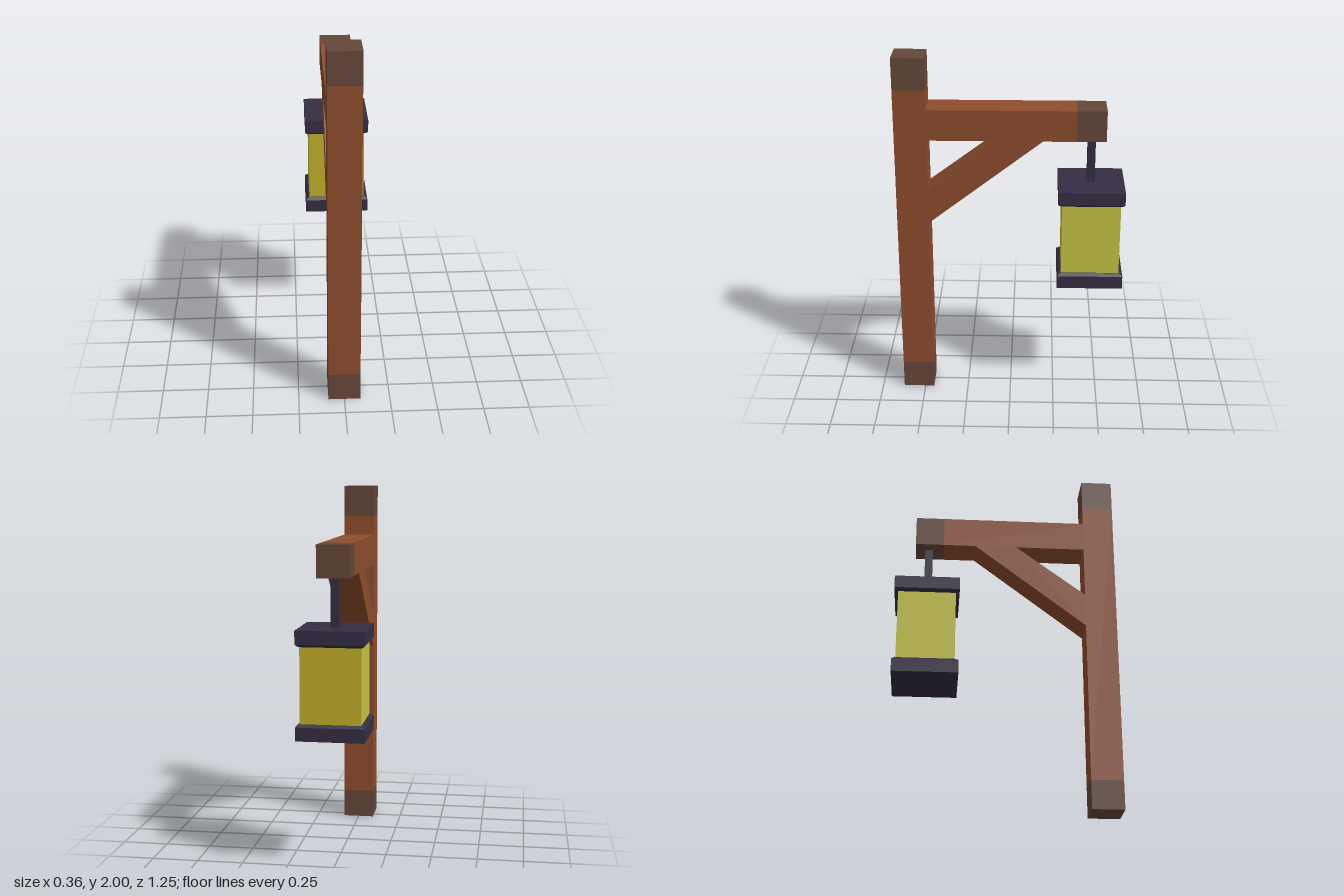
import * as THREE from 'three';

const flat = (name, color) => {
  const m = new THREE.MeshStandardMaterial({ color });
  m.name = name;
  return m;
};

export function createModel() {
  const wood = flat('wood', 0x8f4d2d);
  const endWood = flat('dark end wood', 0x66473a);
  const iron = flat('dark iron', 0x352d42);
  const amber = flat('amber glass', 0xc4b22c);
  const yellow = flat('yellow glass', 0xc8c545);

  const model = new THREE.Group();
  model.name = 'lanternPost';
  const add = (parent, name, geometry, material) => {
    const mesh = new THREE.Mesh(geometry, material);
    mesh.name = name;
    parent.add(mesh);
    return mesh;
  };
  // Box centred on x, given by half width and its y and z ranges
  const box = (parent, name, half, y0, y1, z0, z1, material) =>
    add(parent, name, new THREE.BoxGeometry(half * 2, y1 - y0, z1 - z0), material)
      .position.set(0, (y0 + y1) / 2, (z0 + z1) / 2);

  const W = 0.0875;

  // Upright post with dark ends
  box(model, 'postFoot', W, 0, 0.16, 0.45, 0.625, endWood);
  box(model, 'post', W, 0.16, 1.825, 0.45, 0.625, wood);
  box(model, 'postTop', W, 1.825, 2, 0.45, 0.625, endWood);

  // Horizontal arm with dark tip
  box(model, 'arm', W, 1.545, 1.717, -0.355, 0.45, wood);
  box(model, 'armTip', W, 1.545, 1.717, -0.515, -0.355, endWood);

  // Diagonal brace, drawn in (-z, y) and extruded across x
  const profile = new THREE.Shape(
    [[-0.45, 1.06], [0.175, 1.545], [-0.06, 1.545], [-0.45, 1.253]].map(p => new THREE.Vector2(...p)));
  const brace = new THREE.ExtrudeGeometry(profile, { depth: W * 2, bevelEnabled: false });
  brace.translate(0, 0, -W).rotateY(Math.PI / 2);
  add(model, 'brace', brace, wood);

  // Hanging lantern
  const lantern = new THREE.Group();
  lantern.name = 'lantern';
  lantern.position.z = -0.442;
  model.add(lantern);
  box(lantern, 'hanger', 0.022, 1.287, 1.545, -0.019, 0.025, iron);
  add(lantern, 'glass', new THREE.BoxGeometry(0.32, 0.41, 0.32),
    [yellow, yellow, amber, amber, amber, amber]).position.y = 1;

  // Square plates, each with a bevelled edge facing the glass
  const frustum = (top, bottom, height) =>
    new THREE.CylinderGeometry(top * Math.SQRT2, bottom * Math.SQRT2, height, 4, 1)
      .rotateY(Math.PI / 4).toNonIndexed();
  const bevel = (name, top, bottom, y) => {
    const geometry = frustum(top, bottom, 0.014);
    geometry.computeVertexNormals();
    add(lantern, name, geometry, iron).position.y = y;
  };
  box(lantern, 'lid', 0.181, 1.215, 1.287, -0.181, 0.181, iron);
  bevel('lidBevel', 0.181, 0.165, 1.208);
  box(lantern, 'base', 0.181, 0.712, 0.785, -0.181, 0.181, iron);
  bevel('baseBevel', 0.165, 0.181, 0.792);

  return model;
}
